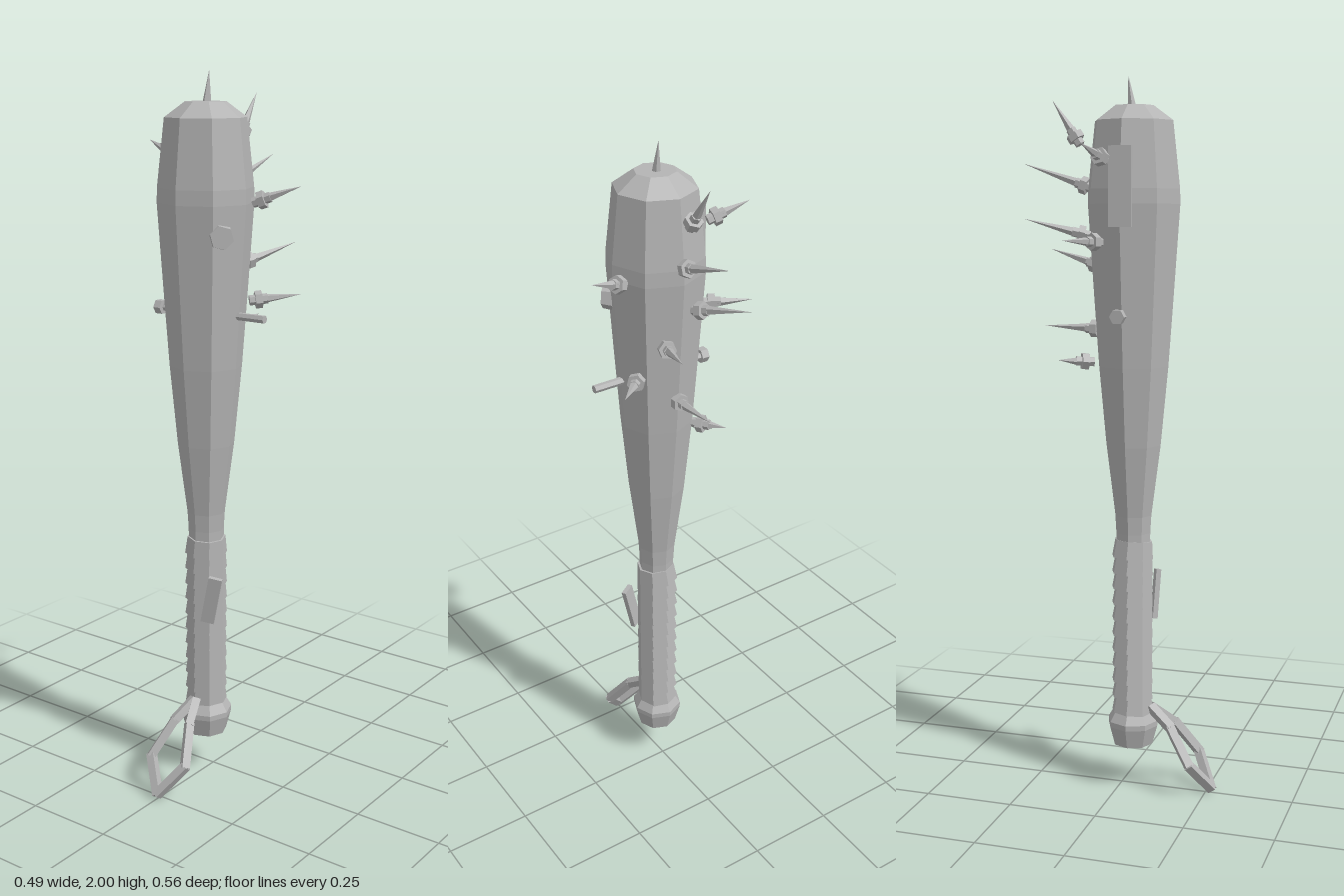
import * as THREE from 'three';

export function createModel() {
  const model = new THREE.Group();
  const grey = new THREE.MeshStandardMaterial({ color: 0xb4b4b4, flatShading: true });
  grey.name = 'plain grey';
  const AXIS_Z = 0.033; // the club stands slightly in front of the centre
  const UP = new THREE.Vector3(0, 1, 0);
  const V = (p) => new THREE.Vector3(...p);

  function add(name, geometry, pos = [0, 0, 0], rot = [0, 0, 0], parent = model) {
    const mesh = new THREE.Mesh(geometry, grey);
    mesh.name = name;
    mesh.position.set(...pos);
    mesh.rotation.set(...rot);
    parent.add(mesh);
    return mesh;
  }

  // Square bar joining two points
  function bar(name, a, b, w, parent) {
    const dir = V(b).sub(V(a));
    const len = dir.length();
    const mesh = add(name, new THREE.BoxGeometry(w, len + w * 0.35, w),
      V(a).add(V(b)).multiplyScalar(0.5).toArray(), [0, 0, 0], parent);
    mesh.quaternion.setFromUnitVectors(UP, dir.normalize());
  }

  // Spike with a collar, running from the collar centre to the tip
  function spike(base, tip) {
    const g = new THREE.Group();
    g.name = 'spike';
    const dir = V(tip).sub(V(base));
    const len = dir.length();
    g.position.set(...base);
    g.quaternion.setFromUnitVectors(UP, dir.normalize());
    add('spikeStub', new THREE.CylinderGeometry(0.014, 0.014, 0.05, 6), [0, 0, 0], [0, 0, 0], g);
    add('spikeCollar', new THREE.CylinderGeometry(0.024, 0.024, 0.019, 6), [0, 0, 0], [0, 0, 0], g);
    add('spikePoint', new THREE.ConeGeometry(0.013, len - 0.015, 5), [0, (len + 0.015) / 2, 0], [0, 0, 0], g);
    model.add(g);
  }

  // Eight-sided club body
  const body = [[0, 0.2], [0.05, 0.2], [0.05, 0.75], [0.053, 0.8], [0.079, 1.0], [0.1, 1.22],
    [0.113, 1.4], [0.131, 1.66], [0.13, 1.7], [0.11, 1.88], [0.055, 1.92], [0, 1.92]];
  add('clubBody', new THREE.LatheGeometry(body.map((p) => new THREE.Vector2(...p)), 8), [0, 0, AXIS_Z]);

  // Pommel
  const pommel = [[0, 0.13], [0.058, 0.13], [0.073, 0.185], [0.073, 0.2], [0.052, 0.235], [0, 0.235]];
  add('pommel', new THREE.LatheGeometry(pommel.map((p) => new THREE.Vector2(...p)), 8), [0, 0, AXIS_Z]);

  // Overlapping grip wraps, each slightly tilted
  for (let i = 0; i < 11; i++) {
    add('gripWrap', new THREE.CylinderGeometry(0.054, 0.06, 0.05, 8),
      [0, 0.247 + i * 0.0455, AXIS_Z], [0.05, 0, -0.07]);
  }
  // Loose end of the wrap
  add('wrapEnd', new THREE.BoxGeometry(0.038, 0.14, 0.014), [0.056, 0.56, 0.084], [0.12, 0.45, -0.24]);

  // Wrist loop
  const loop = new THREE.Group();
  loop.name = 'wristLoop';
  model.add(loop);
  for (const s of [-1, 1]) {
    const path = [[s * 0.005, 0.24, 0.09], [s * 0.026, 0.195, 0.15], [s * 0.06, 0.1, 0.215], [0, 0.018, 0.265]];
    for (let i = 0; i < 3; i++) bar('loopStrand', path[i], path[i + 1], 0.023, loop);
  }

  // Spikes around the back and sides
  [
    [[0, 1.84, -0.133], [0, 1.94, -0.2]],
    [[0, 1.71, -0.108], [0, 1.77, -0.285]],
    [[-0.05, 1.58, -0.1], [-0.1, 1.62, -0.245]],
    [[0.05, 1.495, -0.095], [0.105, 1.535, -0.245]],
    [[0, 1.32, -0.08], [0, 1.325, -0.225]],
    [[-0.067, 1.235, -0.085], [-0.105, 1.24, -0.15]],
    [[0.115, 1.4, -0.05], [0.2, 1.412, -0.13]],
    [[-0.125, 1.56, -0.04], [-0.22, 1.565, -0.095]],
    [[-0.155, 1.78, -0.012], [-0.245, 1.812, -0.035]],
    [[0.145, 1.67, -0.018], [0.245, 1.708, -0.055]],
  ].forEach(([base, tip]) => spike(base, tip));

  // Spike on the crown
  add('crownSpike', new THREE.ConeGeometry(0.013, 0.09, 5), [0, 1.955, 0.023], [-0.12, 0, 0]);

  // Nail driven through the club, with its head on the right
  add('nailShaft', new THREE.CylinderGeometry(0.011, 0.011, 0.34, 6), [0.023, 1.365, AXIS_Z], [0, 0, Math.PI / 2]);
  add('nailHead', new THREE.CylinderGeometry(0.021, 0.021, 0.022, 6), [-0.153, 1.365, AXIS_Z + 0.003], [0, 0, Math.PI / 2]);

  // Nut on the front left
  const nut = add('nut', new THREE.CylinderGeometry(0.032, 0.036, 0.03, 6), [0.1, 1.58, 0.1]);
  nut.quaternion.setFromUnitVectors(UP, new THREE.Vector3(0.7, 0, 0.7).normalize());

  // Patch on the right side
  add('sidePatch', new THREE.BoxGeometry(0.018, 0.21, 0.062), [-0.122, 1.705, AXIS_Z], [0, 0.12, 0]);

  return model;
}
